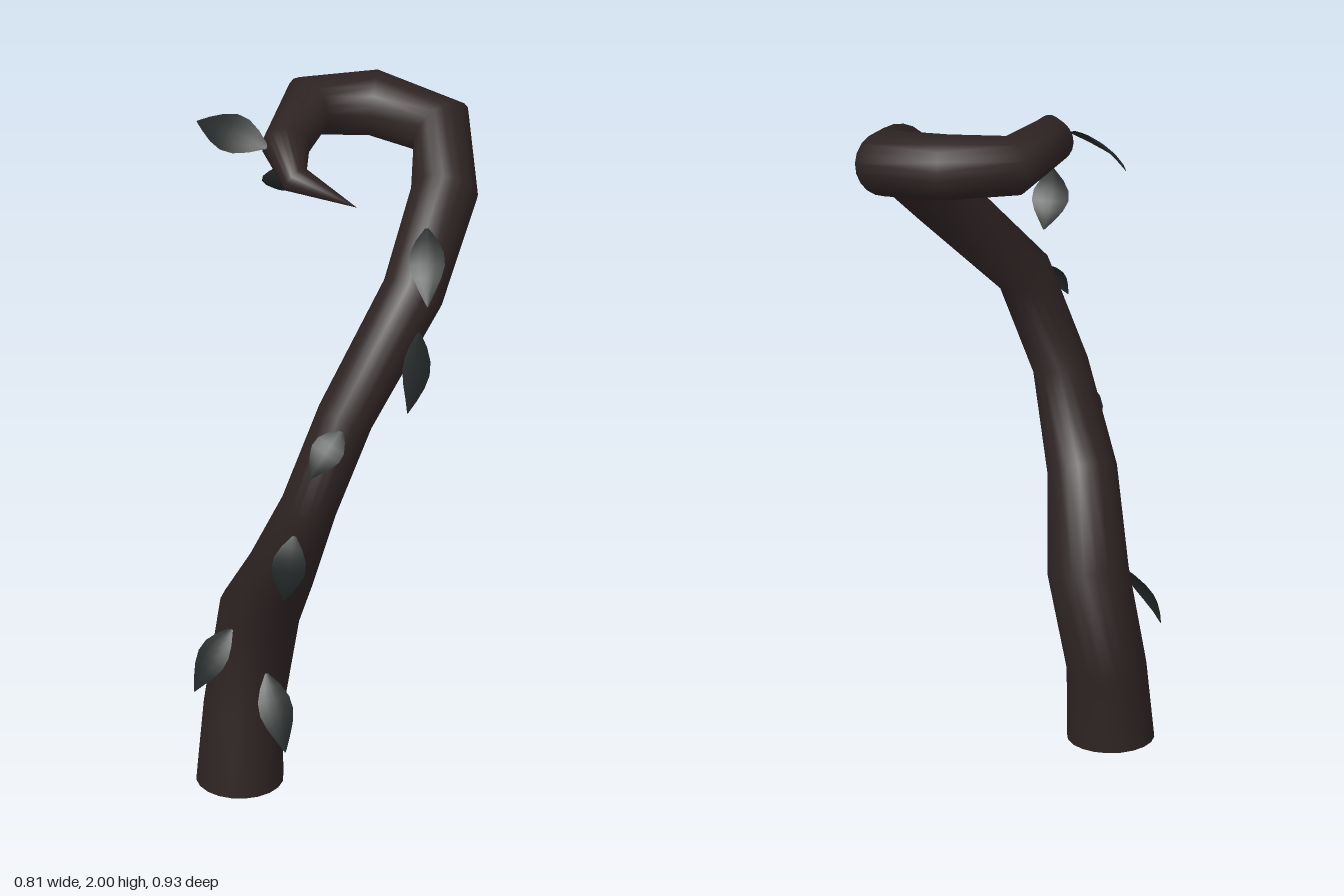
import * as THREE from 'three';

const V = (x, y, z) => new THREE.Vector3(x, y, z);

// Builds a smooth surface from equally sized rows of points.
function gridGeometry(rows, closed) {
  const n = rows[0].length, pos = [], idx = [];
  rows.forEach(r => r.forEach(p => pos.push(p.x, p.y, p.z)));
  for (let i = 0; i < rows.length - 1; i++) {
    for (let j = 0; j < (closed ? n : n - 1); j++) {
      const a = i * n + j, b = i * n + (j + 1) % n;
      idx.push(a, b, a + n, b, b + n, a + n);
    }
  }
  const g = new THREE.BufferGeometry();
  g.setAttribute('position', new THREE.Float32BufferAttribute(pos, 3));
  g.setIndex(idx);
  g.computeVertexNormals();
  return g;
}

// Centre line of the branch: x, y, z, radius
const SPINE = [
  [-0.22, 0, 0.145, 0.122], [-0.213, 0.22, 0.132, 0.112], [-0.173, 0.515, 0.095, 0.114],
  [-0.085, 0.74, 0.265, 0.098], [0.013, 1.01, 0.344, 0.079], [0.11, 1.29, 0.312, 0.08],
  [0.26, 1.58, 0.09, 0.088], [0.31, 1.79, -0.12, 0.094], [0.26, 1.87, -0.335, 0.093],
  [0.06, 1.907, -0.372, 0.093], [-0.113, 1.915, -0.305, 0.085], [-0.135, 1.905, -0.09, 0.067],
  [-0.082, 1.875, 0.036, 0.042], [0.085, 1.79, 0.012, 0.0005],
];

function branchGeometry(sides) {
  const c = SPINE.map(p => V(p[0], p[1], p[2]));
  const u = V(1, 0, 0);
  const rows = c.map((p, i) => {
    // ring plane bisects the two neighbouring segments
    const t = V(0, 0, 0);
    if (i > 0) t.add(p.clone().sub(c[i - 1]).normalize());
    if (i < c.length - 1) t.add(c[i + 1].clone().sub(p).normalize());
    if (i === 0) t.set(0, 1, 0);
    t.normalize();
    u.addScaledVector(t, -u.dot(t)).normalize();
    const w = t.clone().cross(u);
    return Array.from({ length: sides }, (_, j) => {
      const a = j / sides * Math.PI * 2;
      return p.clone().addScaledVector(u, Math.cos(a) * SPINE[i][3])
        .addScaledVector(w, Math.sin(a) * SPINE[i][3]);
    });
  });
  return gridGeometry(rows, true);
}

// Curved leaf from stem to tip, bulging along the outward direction
function leafGeometry([base, tip, out, half, bulge]) {
  const a = V(...base), b = V(...tip), d = b.clone().sub(a).normalize();
  const n = V(...out);
  n.addScaledVector(d, -n.dot(d)).normalize();
  const side = n.clone().cross(d);
  const widths = [0.1, 0.62, 0.95, 1, 0.78, 0.42, 0.03];
  const rows = widths.map((w, i) => {
    const s = i / (widths.length - 1);
    const mid = a.clone().lerp(b, s).addScaledVector(n, bulge * 4 * s * (1 - s));
    return [-1, -0.5, 0, 0.5, 1].map(k => mid.clone()
      .addScaledVector(side, k * w * half).addScaledVector(n, -0.008 * k * k * w));
  });
  return gridGeometry(rows, false);
}

// Leaves: stem, tip, outward direction, half width, bulge
const LEAVES = [
  [[-0.235, 0.5, 0.19], [-0.33, 0.32, 0.245], [-0.5, 0.3, 0.8], 0.05, 0.02],
  [[-0.13, 0.385, 0.22], [-0.06, 0.19, 0.31], [0.4, 0.2, 0.9], 0.048, 0.02],
  [[-0.015, 0.95, 0.415], [-0.04, 0.75, 0.432], [0, 0.1, 1], 0.048, 0.025],
  [[0.115, 1.29, 0.385], [0.04, 1.17, 0.465], [-0.1, 0.4, 0.9], 0.046, 0.02],
  [[0.3, 1.52, 0.205], [0.29, 1.33, 0.33], [0.7, 0.4, 0.6], 0.047, 0.02],
  [[0.29, 1.76, 0.04], [0.325, 1.61, 0.215], [0.1, 0.7, 0.7], 0.05, 0.025],
  [[-0.18, 1.92, -0.05], [-0.405, 1.9, -0.19], [-0.3, 0.7, 0.6], 0.056, 0.025],
  [[-0.15, 1.83, -0.11], [-0.167, 1.69, -0.215], [0, -0.55, 0.83], 0.054, 0.025],
];

export function createModel() {
  const bark = new THREE.MeshStandardMaterial({ color: 0x2e2323 });
  bark.name = 'dark bark';
  const leaf = new THREE.MeshStandardMaterial({ color: 0x232727, side: THREE.DoubleSide });
  leaf.name = 'dark leaf';

  const model = new THREE.Group();
  model.name = 'curledBranch';
  const add = (name, geometry, material) => {
    const m = new THREE.Mesh(geometry, material);
    m.name = name;
    model.add(m);
    return m;
  };

  add('branch', branchGeometry(20), bark);

  // flat underside
  const base = add('branchBase', new THREE.CircleGeometry(SPINE[0][3], 20), bark);
  base.rotation.x = Math.PI / 2;
  base.position.set(SPINE[0][0], 0, SPINE[0][2]);

  LEAVES.forEach((l, i) => add(`leaf${i + 1}`, leafGeometry(l), leaf));
  return model;
}
